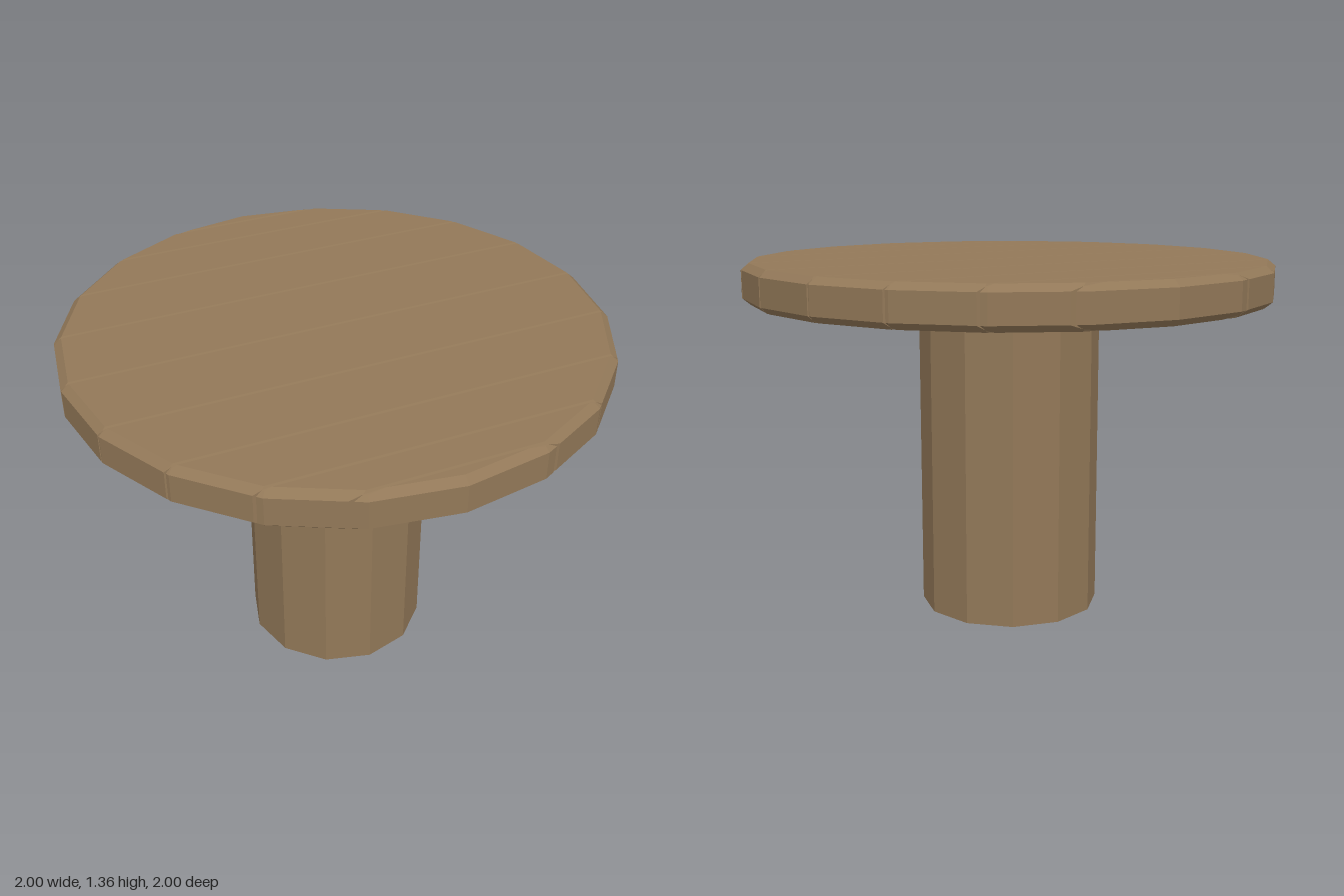
import * as THREE from 'three';
import { ConvexGeometry } from 'three/addons/geometries/ConvexGeometry.js';

const SIDES = 20;

// Corner of the regular outline with radius r
const corner = (i, r) => {
  const a = (i / SIDES) * Math.PI * 2;
  return [Math.cos(a) * r, Math.sin(a) * r];
};

// Outline of radius r, cut to the strip between z0 and z1
function strip(r, z0, z1, y) {
  const points = [];
  for (let i = 0; i < SIDES; i++) {
    const [ax, az] = corner(i, r);
    const [bx, bz] = corner(i + 1, r);
    if (az >= z0 && az <= z1) points.push(new THREE.Vector3(ax, y, az));
    for (const z of [z0, z1]) {
      if ((az - z) * (bz - z) < 0) {
        const t = (z - az) / (bz - az);
        points.push(new THREE.Vector3(ax + (bx - ax) * t, y, z));
      }
    }
  }
  return points;
}

export function createModel() {
  const group = new THREE.Group();
  const wood = new THREE.MeshStandardMaterial({ color: 0x927858 });
  wood.name = 'brown wood';
  const openWood = wood.clone();
  openWood.side = THREE.DoubleSide;

  // Round top of planks with bevelled rims and fine grooves between them
  const top = new THREE.Group();
  top.name = 'tableTop';
  const middle = 1.28;
  // half height, radius, gap to the seam
  const levels = [[0.075, 0.972, 0.006], [0.066, 0.982, 0], [0.051, 1, 0.004]];
  const seams = [-2];
  for (let k = -4; k <= 4; k++) seams.push(0.975 * Math.sin((k * Math.PI * 2) / SIDES));
  seams.push(2);
  for (let i = 0; i < seams.length - 1; i++) {
    const points = [];
    for (const [h, r, gap] of levels) {
      for (const s of [-1, 1]) {
        points.push(...strip(r, seams[i] + gap, seams[i + 1] - gap, middle + s * h));
      }
    }
    const plank = new THREE.Mesh(new ConvexGeometry(points), wood);
    plank.name = 'plank' + (i + 1);
    top.add(plank);
  }
  group.add(top);

  // Hollow twelve-sided pedestal, open at the floor
  const tube = new THREE.CylinderGeometry(0.346, 0.346, 1.208, 12, 1, true).toNonIndexed();
  tube.computeVertexNormals();
  const pedestal = new THREE.Mesh(tube, openWood);
  pedestal.name = 'pedestal';
  pedestal.position.y = 0.604;
  group.add(pedestal);

  return group;
}
